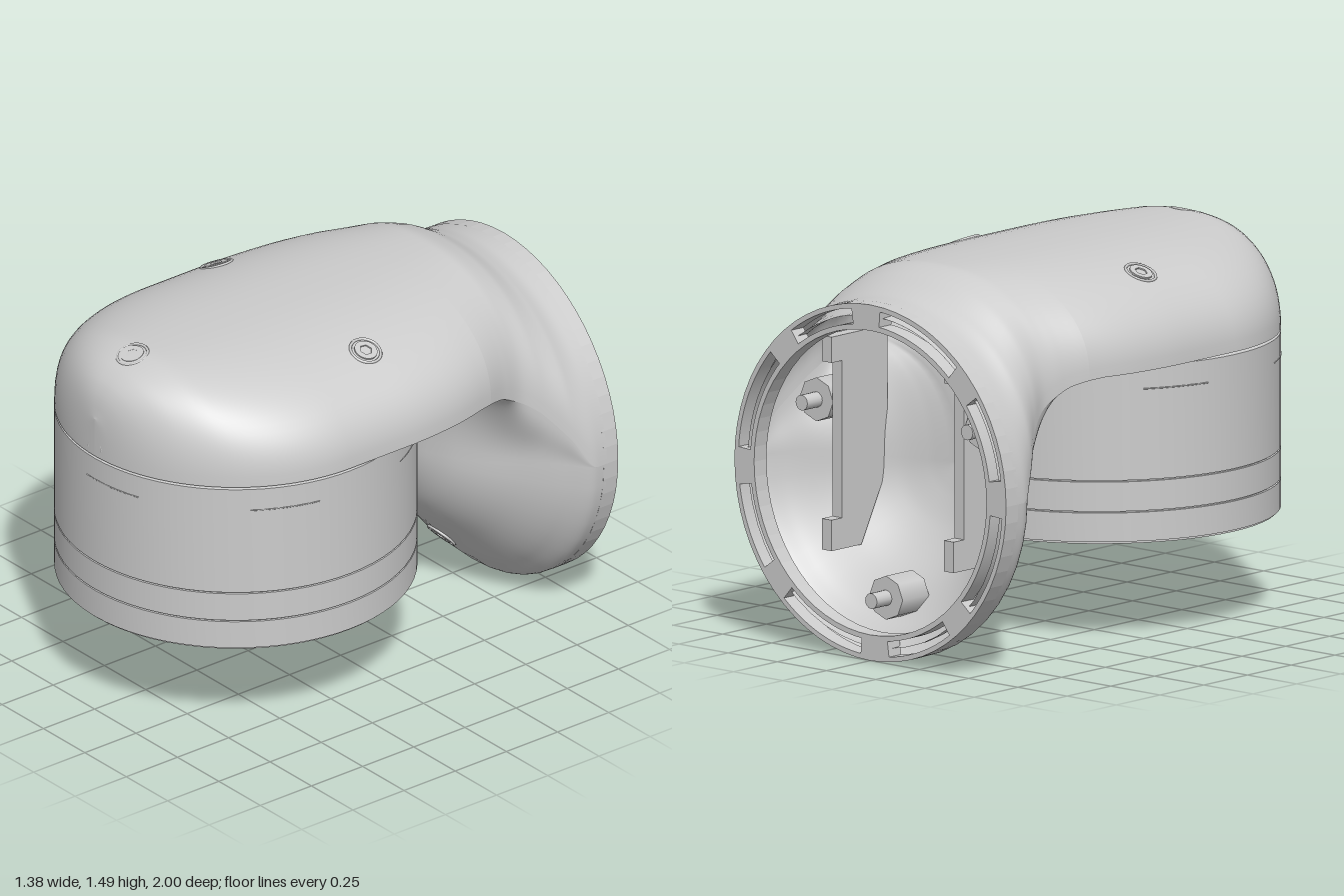
import * as THREE from 'three';
import { toCreasedNormals } from 'three/addons/utils/BufferGeometryUtils.js';

const grey = new THREE.MeshStandardMaterial({ color: 0xcccccc });
const skin = new THREE.MeshStandardMaterial({ color: 0xcccccc, side: THREE.DoubleSide });

function add(parent, name, geometry, material = grey) {
  const mesh = new THREE.Mesh(geometry, material);
  mesh.name = name;
  parent.add(mesh);
  return mesh;
}

// Smooth function through a few [z, value] points
function smooth(points) {
  const slope = i => {
    if (i === 0 || i === points.length - 1) return 0;
    const [a, b, c] = [points[i - 1], points[i], points[i + 1]];
    const s = (b[1] - a[1]) / (b[0] - a[0]), t = (c[1] - b[1]) / (c[0] - b[0]);
    return s * t <= 0 ? 0 : (2 * s * t) / (s + t);
  };
  return z => {
    if (z <= points[0][0]) return points[0][1];
    if (z >= points.at(-1)[0]) return points.at(-1)[1];
    const i = points.findIndex(p => p[0] > z) - 1;
    const h = points[i + 1][0] - points[i][0], t = (z - points[i][0]) / h;
    return points[i][1] * (1 + 2 * t) * (1 - t) ** 2 + points[i + 1][1] * t * t * (3 - 2 * t)
      + h * slope(i) * t * (1 - t) ** 2 + h * slope(i + 1) * t * t * (t - 1);
  };
}

// Elbow dimensions along z: half-width, top, arm underside, stem radius
const CZ = 0.31, R = 0.69;
const neck = smooth([[-1, 0.69], [-0.9, 0.69], [-0.82, 0.655], [-0.72, 0.59], [-0.63, 0.56], [-0.55, 0.575], [-0.4, 0.63], [-0.2, 0.675], [0, 0.69]]);
const topAt = smooth([[-1, 1.38], [-0.88, 1.385], [-0.8, 1.405], [-0.7, 1.455], [-0.6, 1.48], [0.76, 1.48], [0.88, 1.445], [0.95, 1.39], [0.985, 1.32], [1, 1.25]]);
const baseAt = smooth([[-1, 0.69], [-0.9, 0.69], [-0.8, 0.83], [-0.7, 0.95], [-0.6, 1.02], [-0.5, 1.07], [-0.38, 1.09]]);
const stemAt = smooth([[-1, 0.69], [-0.9, 0.69], [-0.8, 0.62], [-0.68, 0.49], [-0.52, 0.29], [-0.46, 0.14], [-0.44, 0.05]]);
const crown = smooth([[-0.9, 1], [-0.6, 0.87]]);
const blend = smooth([[-0.7, 1], [-0.46, 0]]);
const widthAt = z => z > CZ ? Math.sqrt(Math.max(0, R * R - (z - CZ) ** 2)) : neck(z);
const insetBase = (z, inset) => baseAt(z) + (z > -0.85 ? inset : 0);

// Crowned upper half of the elbow's cross-section
function upperSection(z, inset) {
  const w = Math.max(0, widthAt(z) - inset), b = insetBase(z, inset), t = topAt(z) - inset;
  const e = crown(z), out = [];
  for (let i = 0; i <= 40; i++) {
    const a = (i / 40) * Math.PI, c = Math.cos(a);
    out.push([w * Math.sign(c) * Math.abs(c) ** e, b + (t - b) * Math.max(0, Math.sin(a)) ** e]);
  }
  return out;
}

// Lower half: flat under the arm, then filleted into a stem with a round end
function lowerSection(z, inset) {
  const w = Math.max(0, widthAt(z) - inset), b = insetBase(z, inset), k = blend(z);
  const stem = z <= -0.44, r = stem ? Math.max(0, stemAt(z) - inset) : 0, cy = stem ? 0.69 : b;
  const fillet = new THREE.CubicBezierCurve(
    new THREE.Vector2(w, b),
    new THREE.Vector2(w - (1 - k) * (w - r) * 0.66, b - k * 0.45 * (b - cy)),
    new THREE.Vector2(r, b - (0.33 + 0.2 * k) * (b - cy)),
    new THREE.Vector2(r, cy));
  const half = fillet.getPoints(14).map(p => [p.x, p.y]);
  for (let i = 1; i <= 12; i++) {
    const a = (i / 12) * Math.PI / 2;
    half.push([r * Math.cos(a), cy - r * Math.sin(a)]);
  }
  const mirrored = half.slice(0, -1).reverse().map(([x, y]) => [-x, y]);
  return [...half, ...mirrored].reverse();
}

function loft(section, inset, zs) {
  const pos = [], index = [];
  zs.forEach((z, j) => {
    const row = section(z, inset), n = row.length;
    row.forEach(([x, y]) => pos.push(x, y, Math.max(-0.98, z - inset)));
    if (j === 0) return;
    for (let i = 0; i < n - 1; i++) {
      const a = (j - 1) * n + i, c = j * n + i;
      index.push(a, c, a + 1, a + 1, c, c + 1);
    }
  });
  const g = new THREE.BufferGeometry();
  g.setAttribute('position', new THREE.Float32BufferAttribute(pos, 3));
  g.setIndex(index);
  g.computeVertexNormals();
  return g;
}

function circleHole(x, y, r) {
  return new THREE.Path().absarc(x, y, r, 0, Math.PI * 2, true);
}

function plate(outer, holes, depth) {
  const s = new THREE.Shape().absarc(0, 0, outer, 0, Math.PI * 2);
  s.holes.push(...holes);
  return new THREE.ExtrudeGeometry(s, { depth, bevelEnabled: false, curveSegments: 32 });
}

function boltCircle(count, radius, size, turn = 0) {
  return Array.from({ length: count }, (_, i) => {
    const a = turn + (i / count) * Math.PI * 2;
    return circleHole(radius * Math.cos(a), radius * Math.sin(a), size);
  });
}

// Socket screw lying in the surface, facing along a normal
function screw(parent, at, normal) {
  const g = new THREE.Group();
  g.name = 'screw';
  add(g, 'screwRim', new THREE.TorusGeometry(0.06, 0.006, 6, 28));
  const hex = new THREE.Path();
  for (let i = 0; i < 6; i++) {
    const a = -i * Math.PI / 3;
    hex[i ? 'lineTo' : 'moveTo'](0.025 * Math.cos(a), 0.025 * Math.sin(a));
  }
  hex.closePath();
  add(g, 'screwHead', plate(0.045, [hex], 0.02)).position.z = -0.014;
  g.position.set(...at);
  g.quaternion.setFromUnitVectors(new THREE.Vector3(0, 0, 1), new THREE.Vector3(...normal).normalize());
  parent.add(g);
}

export function createModel() {
  const model = new THREE.Group();
  model.name = 'elbowJoint';

  // Elbow shell: outside and inside
  const zs = [];
  for (let i = 0; i < 28; i++) zs.push(CZ + R * Math.cos((i / 28) * Math.PI / 2));
  for (let i = 0; i <= 12; i++) zs.push(CZ - i * 0.0624);
  for (let i = 0; i <= 45; i++) zs.push(-0.44 - i * 0.0112);
  const elbow = new THREE.Group();
  elbow.name = 'elbowShell';
  model.add(elbow);
  for (const [name, inset] of [['outer', 0], ['inner', 0.05]]) {
    add(elbow, name + 'Top', loft(upperSection, inset, zs), skin);
    add(elbow, name + 'Underside', loft(lowerSection, inset, zs), skin);
  }

  // Rear mounting rim with curved pockets
  const slots = [];
  for (let i = 0; i < 8; i++) {
    const a = Math.PI / 8 + i * Math.PI / 4, h = i % 2 ? 0.25 : 0.32;
    slots.push(new THREE.Path().absarc(0, 0, 0.67, a - h, a + h, false).absarc(0, 0, 0.61, a + h, a - h, true).closePath());
  }
  add(model, 'rearRim', plate(R, [circleHole(0, 0, 0.59), ...slots], 0.07)).position.set(0, 0.69, -1);

  // Drum with grooves and a centre bore
  const profile = [[0, 0.6], [0.1, 0.6], [0.1, 0.415], [0.68, 0.415], [0.68, 0.4], [R, 0.4]];
  for (const y of [0.515, 0.635]) profile.push([R, y - 0.003], [0.682, y - 0.002], [0.682, y + 0.002], [R, y + 0.003]);
  profile.push([R, 1.08], [0.67, 1.085], [0, 1.085]);
  const drumShape = new THREE.LatheGeometry(profile.map(p => new THREE.Vector2(...p)), 72);
  add(model, 'drum', toCreasedNormals(drumShape, 0.6)).position.z = CZ;
  for (let i = 0; i < 6; i++) {
    const seam = add(model, 'drumSeam', new THREE.TorusGeometry(R - 0.001, 0.003, 4, 24, 0.4));
    seam.rotation.set(Math.PI / 2, 0, i * Math.PI / 3 + 0.2);
    seam.position.set(0, 0.99, CZ);
  }

  // Flange plates under the drum
  const flanges = [
    ['outerFlange', plate(0.68, [circleHole(0, 0, 0.475), ...boltCircle(8, 0.63, 0.015, 0.2)], 0.027)],
    ['innerFlange', plate(0.462, [circleHole(0, 0, 0.105), ...boltCircle(8, 0.39, 0.02), ...boltCircle(12, 0.27, 0.015, 0.13)], 0.03)]
  ];
  for (const [name, geometry] of flanges) {
    const f = add(model, name, geometry);
    f.rotation.x = Math.PI / 2;
    f.position.set(0, 0.418, CZ);
  }

  // Screws on the arm and stem, and the small front notch
  screw(model, [0, 1.464, 0.815], [0, 0.95, 0.3]);
  screw(model, [0, 0.18, -0.695], [0, -0.68, 0.73]);
  for (const s of [1, -1]) {
    screw(model, [s * 0.45, 1.407, 0.04], [s * 0.4, 0.92, 0]);
    screw(model, [s * 0.44, 0.93, -0.6], [s * 0.75, -0.25, 0.6]);
  }
  add(model, 'frontNotch', new THREE.TorusGeometry(0.04, 0.007, 6, 16, Math.PI)).position.set(0, 1.115, 0.993);

  // Screw bosses with pins inside the stem
  for (const [x, y, z] of [[0.42, 0.93, -0.76], [-0.42, 0.93, -0.76], [0, 0.23, -0.835]]) {
    const boss = add(model, 'boss', new THREE.CylinderGeometry(0.085, 0.085, 0.15, 8));
    const pin = add(model, 'bossPin', new THREE.CylinderGeometry(0.03, 0.03, 0.1, 16));
    boss.rotation.x = pin.rotation.x = Math.PI / 2;
    boss.position.set(x, y, z);
    pin.position.set(x, y, z - 0.11);
  }

  // Hooked bracket plates inside the stem
  const hook = new THREE.Shape([[0.73, 0.37], [0.9, 0.37], [0.9, 0.49], [0.84, 0.49], [0.84, 1.1], [0.9, 1.1], [0.9, 1.2], [0.58, 1.2], [0.58, 0.65]].map(p => new THREE.Vector2(...p)));
  for (const s of [1, -1]) {
    const b = add(model, 'bracket', new THREE.ExtrudeGeometry(hook, { depth: 0.05, bevelEnabled: false }));
    b.rotation.y = Math.PI / 2;
    b.position.x = s * 0.31 - 0.025;
  }
  return model;
}
